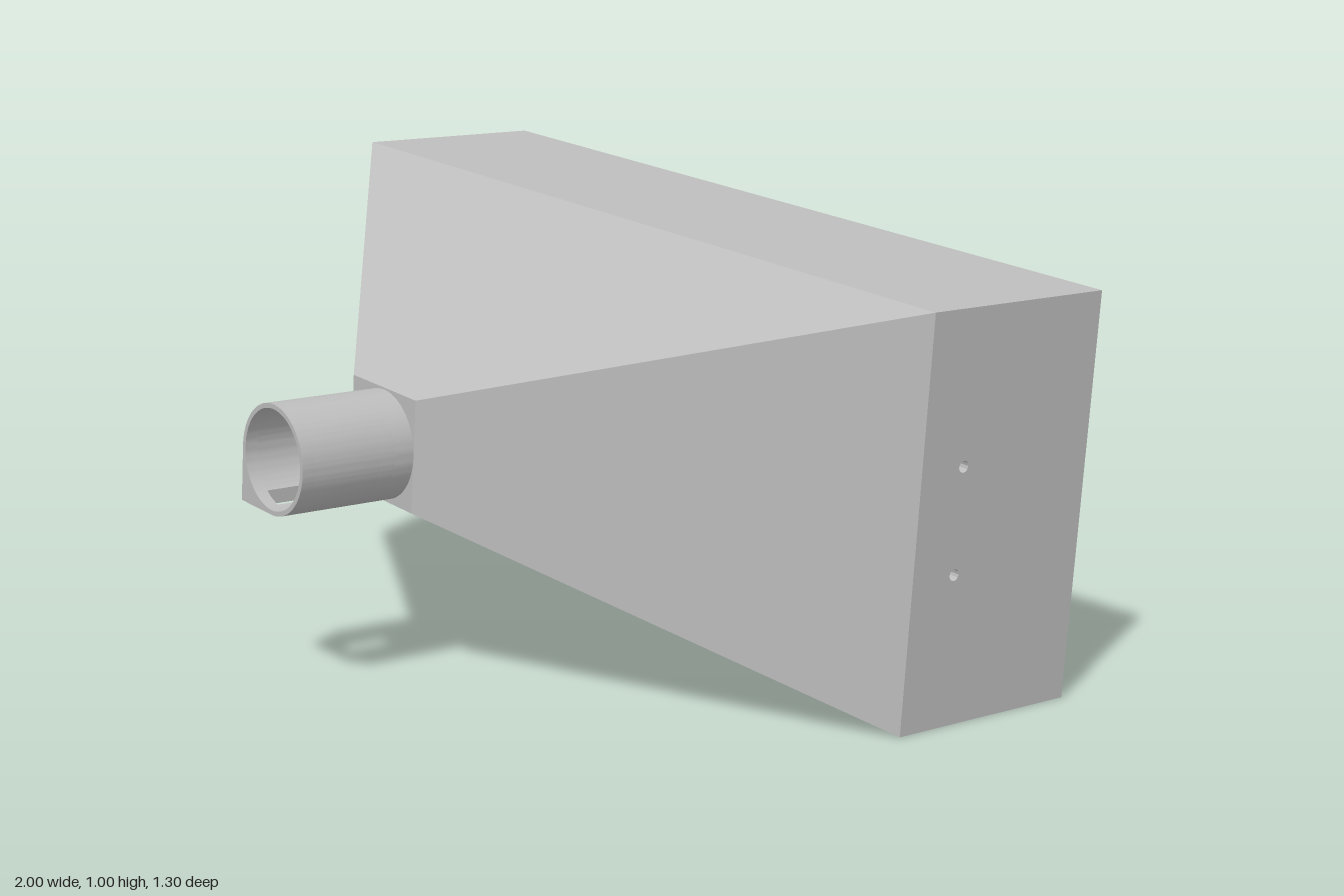
import * as THREE from 'three';
import { toCreasedNormals } from 'three/addons/utils/BufferGeometryUtils.js';

const W = 0.968, H = 0.4265, T = 0.025;      // hood half width, half height, wall
const BACK = -0.65, MID = -0.2, NECK = 0.39, TIP = 0.653;
const R = 0.115, RI = 0.105;                 // spout outer and inner radius

const metal = new THREE.MeshStandardMaterial({ color: 0xbcbcbc });
metal.name = 'grey metal';

function add(group, name, geometry, x = 0, y = 0, z = 0) {
  const mesh = new THREE.Mesh(geometry, metal);
  mesh.name = name;
  mesh.position.set(x, y, z);
  group.add(mesh);
  return mesh;
}

function extrude(shape, depth) {
  const g = new THREE.ExtrudeGeometry(shape, { depth, bevelEnabled: false, curveSegments: 48 });
  return toCreasedNormals(g, 0.5);
}

function rectShape(x0, y0, x1, y1) {
  return new THREE.Shape([[x0, y0], [x1, y0], [x1, y1], [x0, y1]].map(p => new THREE.Vector2(...p)));
}

function circle(x, y, r) {
  return new THREE.Path().absarc(x, y, r, 0, Math.PI * 2, true);
}

// Skins a closed series of rectangles [halfWidth, halfHeight, z] with flat faces
function loftRects(rects) {
  const corners = ([w, h, z]) => [[w, h, z], [-w, h, z], [-w, -h, z], [w, -h, z]];
  const pos = [];
  rects.forEach((rect, i) => {
    const a = corners(rect), b = corners(rects[(i + 1) % rects.length]);
    for (let k = 0; k < 4; k++) {
      const n = (k + 1) % 4;
      pos.push(...a[k], ...a[n], ...b[n], ...a[k], ...b[n], ...b[k]);
    }
  });
  const g = new THREE.BufferGeometry();
  g.setAttribute('position', new THREE.Float32BufferAttribute(pos, 3));
  g.computeVertexNormals();
  return g;
}

// Spout outline: round, with its lower -x corner squared off
function spoutOutline(shape) {
  return shape.lineTo(0, -R).absarc(0, 0, R, -Math.PI / 2, Math.PI, false).lineTo(-R, -R);
}

export function createModel() {
  const model = new THREE.Group();
  model.name = 'funnelHood';
  const depth = MID - BACK;

  // Side walls, each with two screw holes
  const wall = rectShape(BACK, -H, MID, H);
  for (const y of [-0.11, 0.11]) wall.holes.push(circle(-0.31, y, 0.012));
  const wallGeo = extrude(wall, T).rotateY(-Math.PI / 2);
  add(model, 'leftWall', wallGeo, W);
  add(model, 'rightWall', wallGeo, -W + T);

  // Top and bottom walls
  for (const s of [1, -1]) {
    add(model, s > 0 ? 'topWall' : 'bottomWall',
      new THREE.BoxGeometry(2 * (W - T), T, depth), 0, s * (H - T / 2), (BACK + MID) / 2);
  }

  // Hollow tapering funnel
  add(model, 'funnel', loftRects([
    [W, H, MID], [0.115, 0.119, NECK], [0.106, 0.11, NECK], [W - T, H - T, MID],
  ]));

  // Neck plate joining the square funnel end to the round spout
  const plate = rectShape(-0.115, -0.119, 0.115, 0.119);
  plate.holes.push(circle(0, 0, RI));
  add(model, 'neckPlate', extrude(plate, 0.012), 0, 0, NECK - 0.012);

  // Spout: round base, then squared corner with a slot between two solid ends
  const spout = new THREE.Group();
  spout.name = 'spout';
  model.add(spout);
  const round = new THREE.Shape().absarc(0, 0, R, 0, Math.PI * 2, false);
  round.holes.push(circle(0, 0, RI));
  const solid = spoutOutline(new THREE.Shape().moveTo(0, -R));
  solid.holes.push(circle(0, 0, RI));
  const S0 = -0.062, S1 = -0.02;
  const innerAngle = x => Math.atan2(-Math.sqrt(RI * RI - x * x), x);
  const slotted = spoutOutline(new THREE.Shape().moveTo(S1, -R));
  slotted.lineTo(S0, -R).absarc(0, 0, RI, innerAngle(S0), innerAngle(S1), true);
  const sections = [
    ['spoutBase', round, NECK, 0.435],
    ['spoutRear', solid, 0.435, 0.47],
    ['spoutSlot', slotted, 0.47, 0.625],
    ['spoutTip', solid, 0.625, TIP],
  ];
  for (const [name, shape, z0, z1] of sections) add(spout, name, extrude(shape, z1 - z0), 0, 0, z0);

  // The whole hood is tilted slightly
  model.rotation.z = -0.0785;
  model.position.y = 0.501;
  const root = new THREE.Group();
  root.name = 'model';
  root.add(model);
  return root;
}
